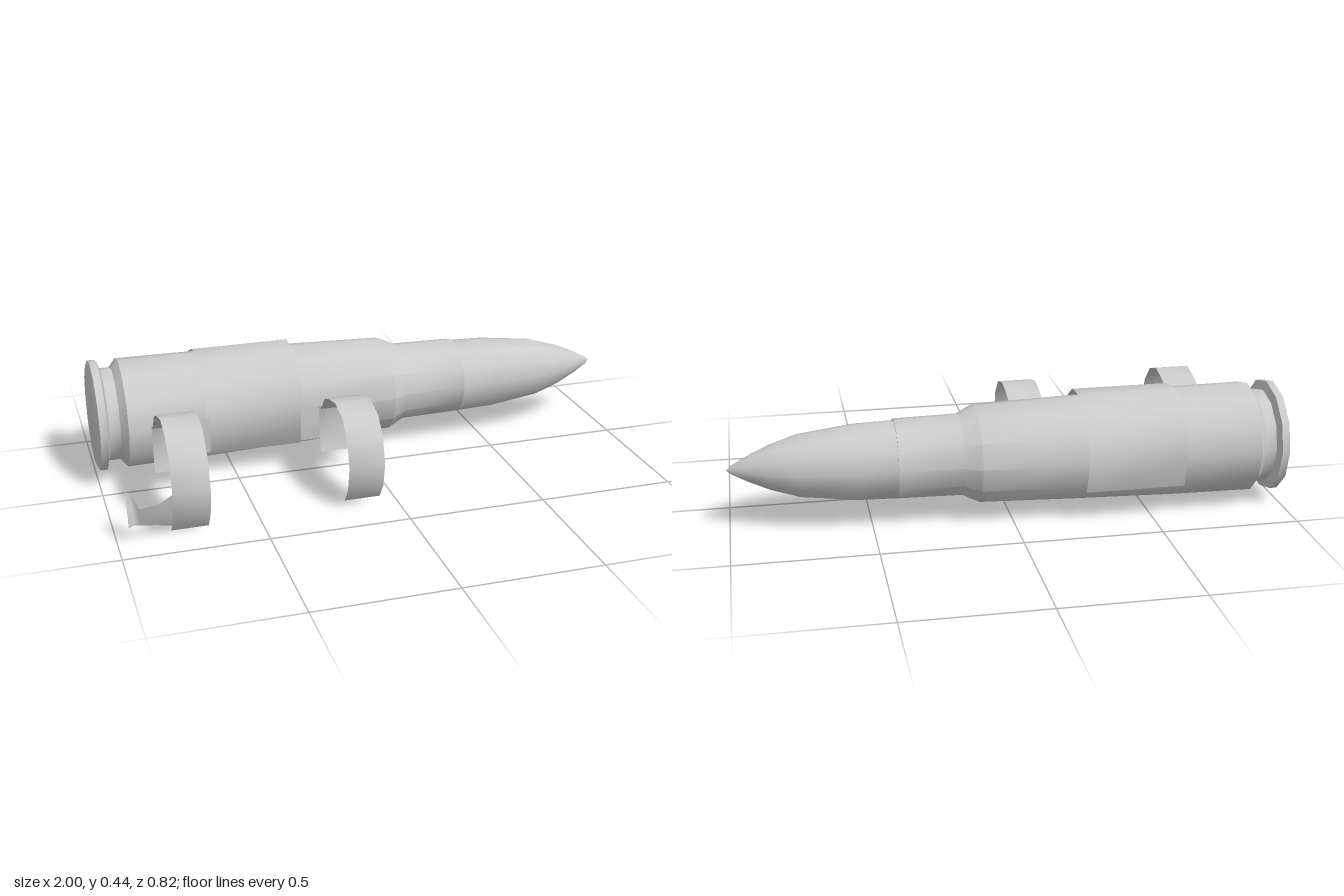
import * as THREE from 'three';
import { toCreasedNormals } from 'three/addons/utils/BufferGeometryUtils.js';

const AXIS_Y = 0.233, AXIS_Z = -0.205, SIDES = 12;
const solid = new THREE.MeshStandardMaterial({ color: 0xcccccc });
const sheetMetal = new THREE.MeshStandardMaterial({ color: 0xcccccc, side: THREE.DoubleSide });

// Round part along x from [x, radius] pairs
function turned(name, profile, y = AXIS_Y) {
  const lathe = new THREE.LatheGeometry(profile.map(([x, r]) => new THREE.Vector2(r, x)), SIDES);
  lathe.rotateZ(-Math.PI / 2);
  const mesh = new THREE.Mesh(toCreasedNormals(lathe, 0.6), solid);
  mesh.name = name;
  mesh.position.set(0, y, AXIS_Z);
  return mesh;
}

// Thin surface through rows of [x, y, z] points
function sheet(name, rows) {
  const n = rows[0].length, index = [];
  for (let i = 0; i < rows.length - 1; i++) {
    for (let j = 0; j < n - 1; j++) {
      const a = i * n + j, b = a + 1, c = a + n, d = c + 1;
      index.push(a, c, b, b, c, d);
    }
  }
  const geometry = new THREE.BufferGeometry();
  geometry.setAttribute('position', new THREE.Float32BufferAttribute(rows.flat(2), 3));
  geometry.setIndex(index);
  geometry.computeVertexNormals();
  const mesh = new THREE.Mesh(geometry, sheetMetal);
  mesh.name = name;
  return mesh;
}

// Band of constant width following a [z, y] path
const band = (name, x0, x1, path) =>
  sheet(name, path.map(([z, y]) => [[x1, y, z], [x0, y, z]]));

export function createModel() {
  const model = new THREE.Group();
  model.name = 'linkedCartridge';

  // Cartridge
  const cartridge = new THREE.Group();
  cartridge.name = 'cartridge';
  cartridge.add(
    turned('rim', [[-1, 0], [-1, 0.185], [-0.992, 0.205], [-0.965, 0.205], [-0.955, 0.172]]),
    turned('extractorGroove', [[-0.955, 0.172], [-0.915, 0.172], [-0.89, 0.203]]),
    turned('case', [[-0.89, 0.203], [-0.6, 0.2], [-0.2, 0.189], [0.12, 0.178], [0.18, 0.148],
      [0.41, 0.144], [0.41, 0.138]]),
    turned('bullet', [[0.4, 0.141], [0.55, 0.137], [0.75, 0.112], [0.85, 0.08], [0.93, 0.044],
      [0.985, 0.014], [1, 0]], 0.23),
  );

  // Link: sleeve clasping the case, open underneath
  const link = new THREE.Group();
  link.name = 'beltLink';
  const arc = [];
  for (let i = 0; i <= 9; i++) {
    const a = THREE.MathUtils.degToRad(-43 + (i * 255) / 9);
    arc.push([AXIS_Z + 0.209 * Math.cos(a), AXIS_Y + 0.209 * Math.sin(a)]);
  }
  link.add(band('sleeve', -0.61, -0.25, arc));

  // Open loops for the neighbouring cartridge, each with a hanging tab
  const root = [[0.02, 0.075], [0.005, 0.13], [0.004, 0.25], [0.025, 0.25]];
  link.add(
    band('rearLoop', -0.81, -0.68, [...root, [0.085, 0.325], [0.15, 0.35], [0.235, 0.37],
      [0.315, 0.345], [0.38, 0.275], [0.41, 0.17], [0.39, 0.075], [0.34, 0.002]]),
    band('frontLoop', -0.19, -0.06, [...root, [0.085, 0.315], [0.145, 0.335], [0.225, 0.35],
      [0.31, 0.328], [0.37, 0.265], [0.395, 0.17], [0.375, 0.08], [0.33, 0.02]]),
  );

  // Necks joining the loops to the sleeve
  for (const [name, x0, x1] of [['rearNeck', -0.69, -0.6], ['frontNeck', -0.26, -0.18]]) {
    link.add(band(name, x0, x1, [[-0.005, 0.12], [0.004, 0.18], [0.004, 0.255]]));
  }

  // Bent tail on the free end of the rear loop
  link.add(sheet('rearTail', [
    [[-0.81, 0.17, 0.41], [-0.81, 0.075, 0.39], [-0.81, 0.03, 0.36]],
    [[-0.86, 0.135, 0.4], [-0.86, 0.08, 0.388], [-0.86, 0.045, 0.37]],
    [[-0.92, 0.125, 0.393], [-0.92, 0.085, 0.385], [-0.92, 0.055, 0.375]],
    [[-0.94, 0.165, 0.35], [-0.94, 0.11, 0.365], [-0.94, 0.055, 0.37]],
    [[-0.96, 0.18, 0.365], [-0.96, 0.12, 0.385], [-0.96, 0.06, 0.395]],
  ]));

  model.add(cartridge, link);
  return model;
}
